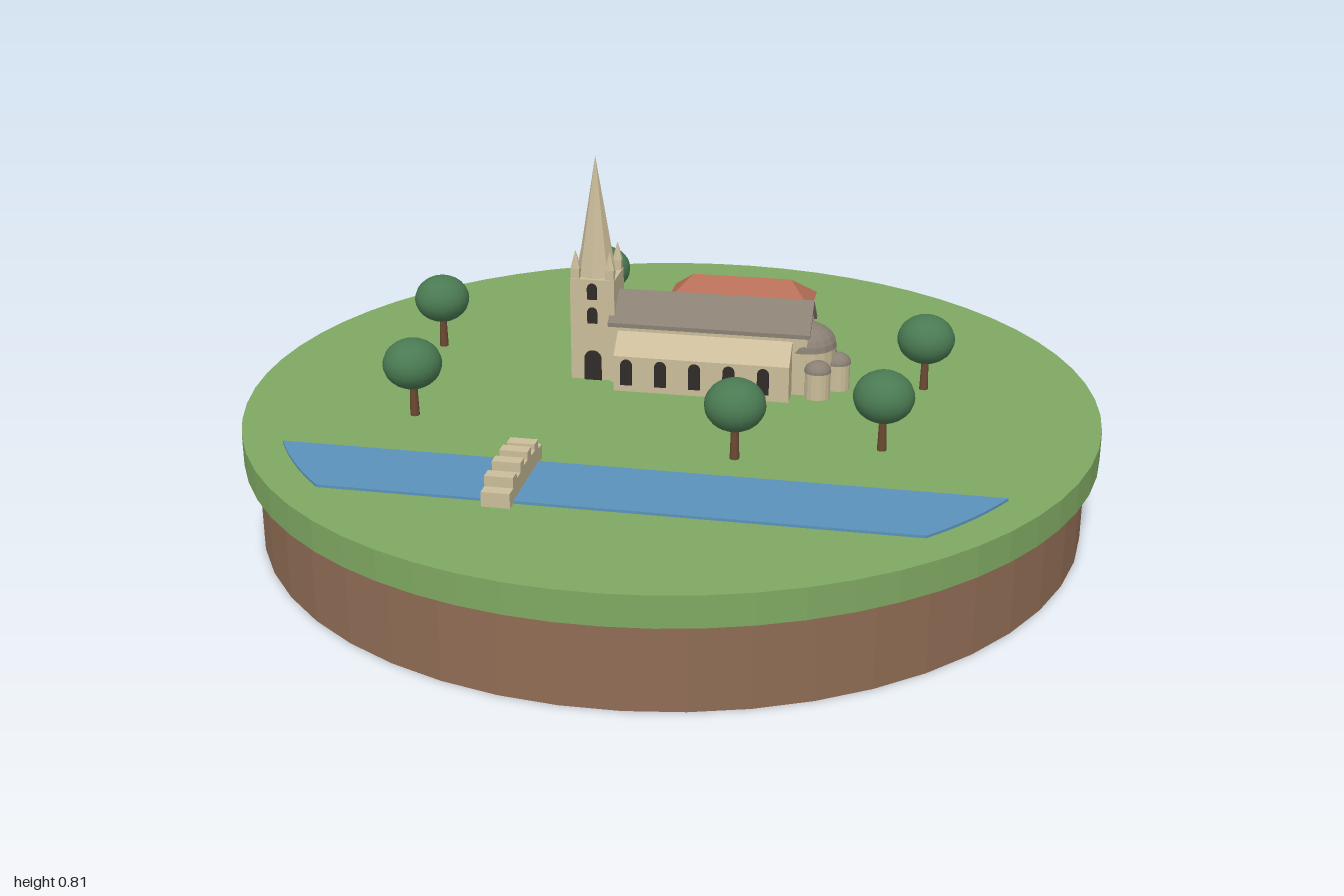
import * as THREE from 'three';
import { ConvexGeometry } from 'three/addons/geometries/ConvexGeometry.js';

const GROUND = 0.27;
const AXIS = -0.112; // church centre line, in site coordinates

const material = (name, color, extra = {}) => {
  const m = new THREE.MeshStandardMaterial({ color, ...extra });
  m.name = name;
  return m;
};

export function createModel() {
  const mats = {
    grass: material('grass', 0x7fa862, { flatShading: true }),
    soil: material('soil', 0x8f6c54, { flatShading: true }),
    water: material('water', 0x5a92ba),
    stone: material('stone', 0xcbbd9a, { flatShading: true }),
    slate: material('slate', 0x8a8074, { flatShading: true }),
    tile: material('clay tile', 0xb56d57, { flatShading: true }),
    foliage: material('foliage', 0x4a7a52),
    bark: material('bark', 0x6b4a32),
    dark: material('dark opening', 0x2f2b29),
  };
  const model = new THREE.Group();
  model.name = 'villageDiorama';

  const add = (parent, name, geometry, mat, x = 0, y = 0, z = 0) => {
    const mesh = new THREE.Mesh(geometry, mat);
    mesh.name = name;
    mesh.position.set(x, y, z);
    parent.add(mesh);
    return mesh;
  };
  const group = (parent, name, x = 0, y = 0, z = 0) => {
    const g = new THREE.Group();
    g.name = name;
    g.position.set(x, y, z);
    parent.add(g);
    return g;
  };
  const shapeOf = (points) => new THREE.Shape(points.map(([x, y]) => new THREE.Vector2(x, y)));

  // Constant cross-section (z, y) running along x from x0 to x1
  const prism = (points, x0, x1) => {
    const g = new THREE.ExtrudeGeometry(shapeOf(points), { depth: x1 - x0, bevelEnabled: false });
    return g.rotateY(Math.PI / 2).translate(x0, 0, 0);
  };
  // Thin round-headed opening standing on y = 0, facing +z
  const arch = (w, h) => {
    const s = new THREE.Shape();
    s.moveTo(-w / 2, 0);
    s.lineTo(w / 2, 0);
    s.lineTo(w / 2, h - w / 2);
    s.absarc(0, h - w / 2, w / 2, 0, Math.PI, false);
    s.closePath();
    return new THREE.ExtrudeGeometry(s, { depth: 0.008, bevelEnabled: false, curveSegments: 8 })
      .translate(0, 0, -0.004);
  };

  // Ground disc
  add(model, 'soilBase', new THREE.CylinderGeometry(0.97, 0.97, 0.2, 48), mats.soil, 0, 0.1, 0);
  add(model, 'grassTop', new THREE.CylinderGeometry(1, 1, 0.07, 64), mats.grass, 0, 0.235, 0);

  // Everything built lies on a grid turned by 20 degrees
  const site = group(model, 'site');
  site.rotation.y = -THREE.MathUtils.degToRad(20);

  // River: a strip trimmed by a circle
  const R = 0.915, near = 0.655, far = 0.45;
  const bank = [];
  for (let i = 0; i <= 8; i++) {
    const z = far + (near - far) * i / 8;
    bank.push([Math.sqrt(R * R - z * z), -z]);
  }
  const outline = [...bank, ...bank.map(([x, y]) => [-x, y]).reverse()];
  const riverGeo = new THREE.ExtrudeGeometry(shapeOf(outline), { depth: 0.006, bevelEnabled: false });
  add(site, 'river', riverGeo.rotateX(-Math.PI / 2), mats.water, 0, GROUND, 0);

  // Stone bridge of nine blocks, rising to the middle with a notched top
  const bridge = group(site, 'bridge', -0.24, GROUND, 0.55);
  for (let i = 0; i < 9; i++) {
    const h = 0.033 + 0.014 * Math.sin(Math.PI * i / 8) + (i % 2 ? 0.018 : 0);
    add(bridge, 'bridgeBlock', new THREE.BoxGeometry(0.062, h, 0.029), mats.stone, 0, h / 2, (i - 4) * 0.029);
  }

  // Church: nave, aisles and roof
  const church = group(site, 'church', 0, 0, AXIS);
  add(church, 'nave', prism([[-0.066, GROUND], [0.066, GROUND], [0.066, 0.42], [0, 0.477], [-0.066, 0.42]],
    -0.16, 0.315), mats.stone);
  add(church, 'naveRoof', prism([[-0.074, 0.414], [0, 0.477], [0.074, 0.414], [0.074, 0.424], [0, 0.487],
    [-0.074, 0.424]], -0.163, 0.322), mats.slate);
  add(church, 'aisles', prism([[-0.119, GROUND], [0.119, GROUND], [0.119, 0.358], [0.064, 0.405],
    [-0.064, 0.405], [-0.119, 0.358]], -0.14, 0.28), mats.stone);
  for (let i = 0; i < 5; i++) {
    add(church, 'aisleWindow', arch(0.028, 0.064), mats.dark, -0.109 + i * 0.082, 0.287, 0.12);
  }

  // Tower with octagonal spire and corner pinnacles
  const tower = group(church, 'tower', -0.204, GROUND, 0.004);
  const W = 0.108, H = 0.254;
  add(tower, 'towerShaft', new THREE.BoxGeometry(W, H, W), mats.stone, 0, H / 2, 0);
  add(tower, 'spire', new THREE.ConeGeometry(0.048, 0.29, 8), mats.stone, 0, H + 0.145, 0);
  for (const sx of [-1, 1]) for (const sz of [-1, 1]) {
    const x = sx * 0.042, z = sz * 0.042;
    add(tower, 'pinnacleBase', new THREE.BoxGeometry(0.02, 0.025, 0.02), mats.stone, x, H + 0.0125, z);
    add(tower, 'pinnacle', new THREE.ConeGeometry(0.013, 0.045, 6), mats.stone, x, H + 0.047, z);
  }
  add(tower, 'southDoor', arch(0.042, 0.075), mats.dark, 0, 0, W / 2);
  add(tower, 'westDoor', arch(0.042, 0.075), mats.dark, -W / 2, 0, 0).rotation.y = -Math.PI / 2;
  for (const y of [0.145, 0.205]) {
    add(tower, 'towerWindow', arch(0.024, 0.04), mats.dark, 0, y, W / 2);
  }

  // Rounded east end with three domed chapels
  const roundTower = (name, x, z, r, wall, dome) => {
    const g = group(church, name, x, GROUND, z);
    add(g, name + 'Wall', new THREE.CylinderGeometry(r, r, wall, 16), mats.stone, 0, wall / 2, 0);
    const cap = new THREE.SphereGeometry(r * 1.07, 16, 6, 0, Math.PI * 2, 0, Math.PI / 2);
    cap.scale(1, dome / (r * 1.07), 1);
    add(g, name + 'Dome', cap, mats.slate, 0, wall, 0);
  };
  roundTower('apse', 0.308, 0, 0.066, 0.105, 0.055);
  for (const a of [-1.1, 0, 1.1]) {
    roundTower('chapel', 0.308 + 0.074 * Math.cos(a), 0.074 * Math.sin(a), 0.03, 0.064, 0.026);
  }

  // Parish house with hipped roof
  const house = group(site, 'house', 0.106, GROUND, -0.4);
  add(house, 'houseWalls', new THREE.BoxGeometry(0.345, 0.115, 0.122), mats.stone, 0, 0.0575, 0);
  const hip = [];
  for (const sx of [-1, 1]) {
    hip.push(new THREE.Vector3(sx * 0.125, 0.168, 0));
    for (const sz of [-1, 1]) hip.push(new THREE.Vector3(sx * 0.184, 0.115, sz * 0.07));
  }
  add(house, 'houseRoof', new ConvexGeometry(hip), mats.tile);

  // Trees
  const spots = [[-0.52, -0.413], [-0.085, -0.587], [-0.607, 0.033], [0.6, 0.067], [0.075, 0.393], [0.405, 0.4]];
  for (const [x, z] of spots) {
    const tree = group(model, 'tree', x, GROUND, z);
    add(tree, 'trunk', new THREE.CylinderGeometry(0.008, 0.011, 0.09, 8), mats.bark, 0, 0.045, 0);
    add(tree, 'crown', new THREE.SphereGeometry(0.068, 20, 14).scale(1, 0.86, 1), mats.foliage, 0, 0.127, 0);
  }
  return model;
}
